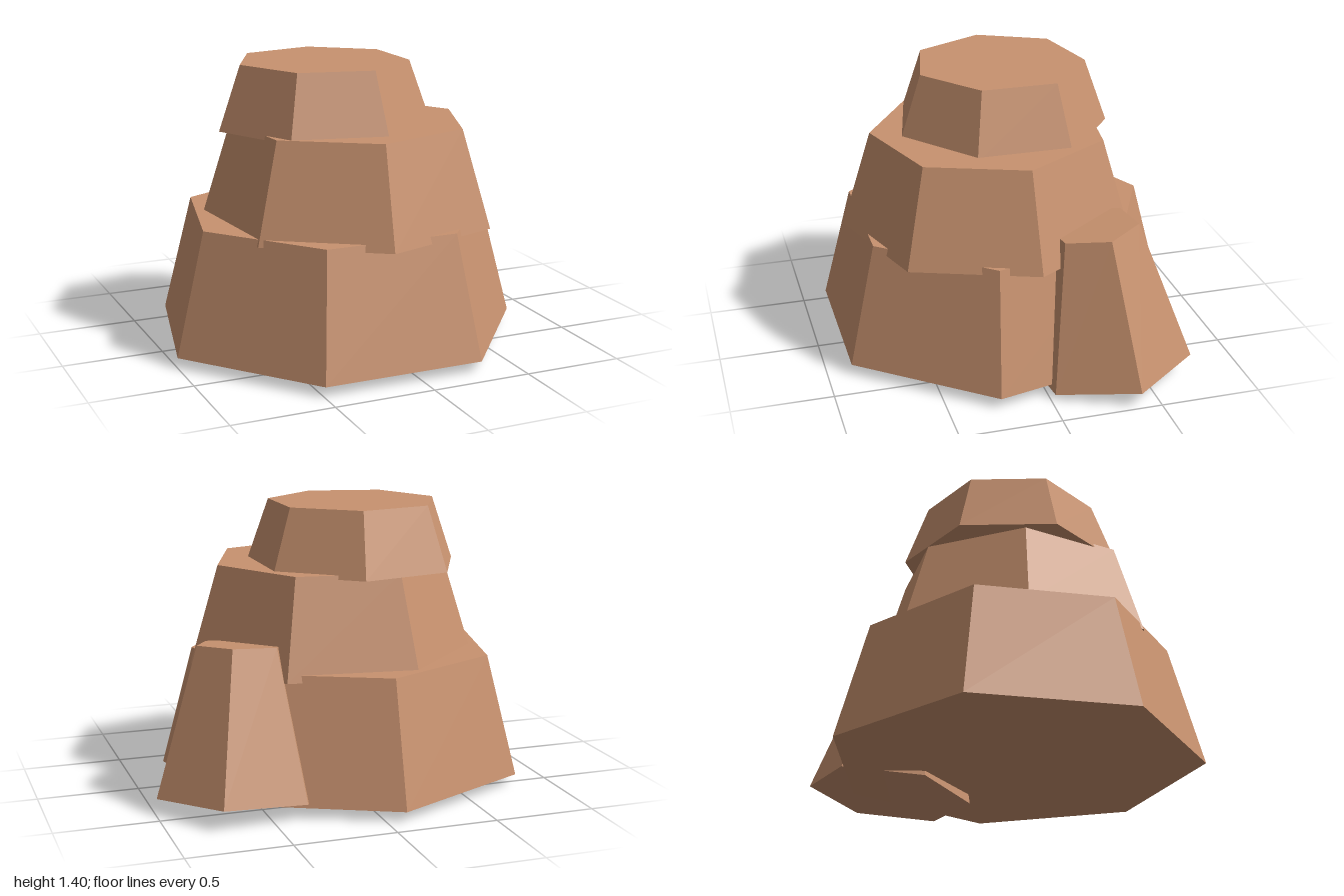
import * as THREE from 'three';

export function createModel() {
  const group = new THREE.Group();
  const rock = new THREE.MeshStandardMaterial({ color: 0xc8926f, flatShading: true });
  rock.name = 'sandstone';

  // Tapered block standing on its base centre; start is the angle of the first corner from +z
  function block(name, sides, rTop, rBottom, height, start, base, axis = [0, 1, 0]) {
    const geo = new THREE.CylinderGeometry(rTop, rBottom, height, sides, 1, false, start);
    geo.translate(0, height / 2, 0);
    const mesh = new THREE.Mesh(geo, rock);
    mesh.name = name;
    mesh.position.set(...base);
    mesh.quaternion.setFromUnitVectors(
      new THREE.Vector3(0, 1, 0), new THREE.Vector3(...axis).normalize());
    group.add(mesh);
  }

  // Three stacked tiers, each turned and shifted a little
  block('lowerTier', 7, 0.771, 0.931, 0.605, Math.PI, [-0.09, 0.055, 0.041]);
  block('middleTier', 7, 0.592, 0.742, 0.485, -0.13, [-0.024, 0.625, 0.084]);
  block('upperTier', 7, 0.432, 0.545, 0.32, -Math.PI / 2, [-0.134, 1.09, 0]);

  // Leaning side boulder
  block('sideBoulder', 6, 0.222, 0.418, 0.725, 1.655, [0.575, 0.055, -0.365], [-0.051, 1, 0.108]);

  return group;
}
